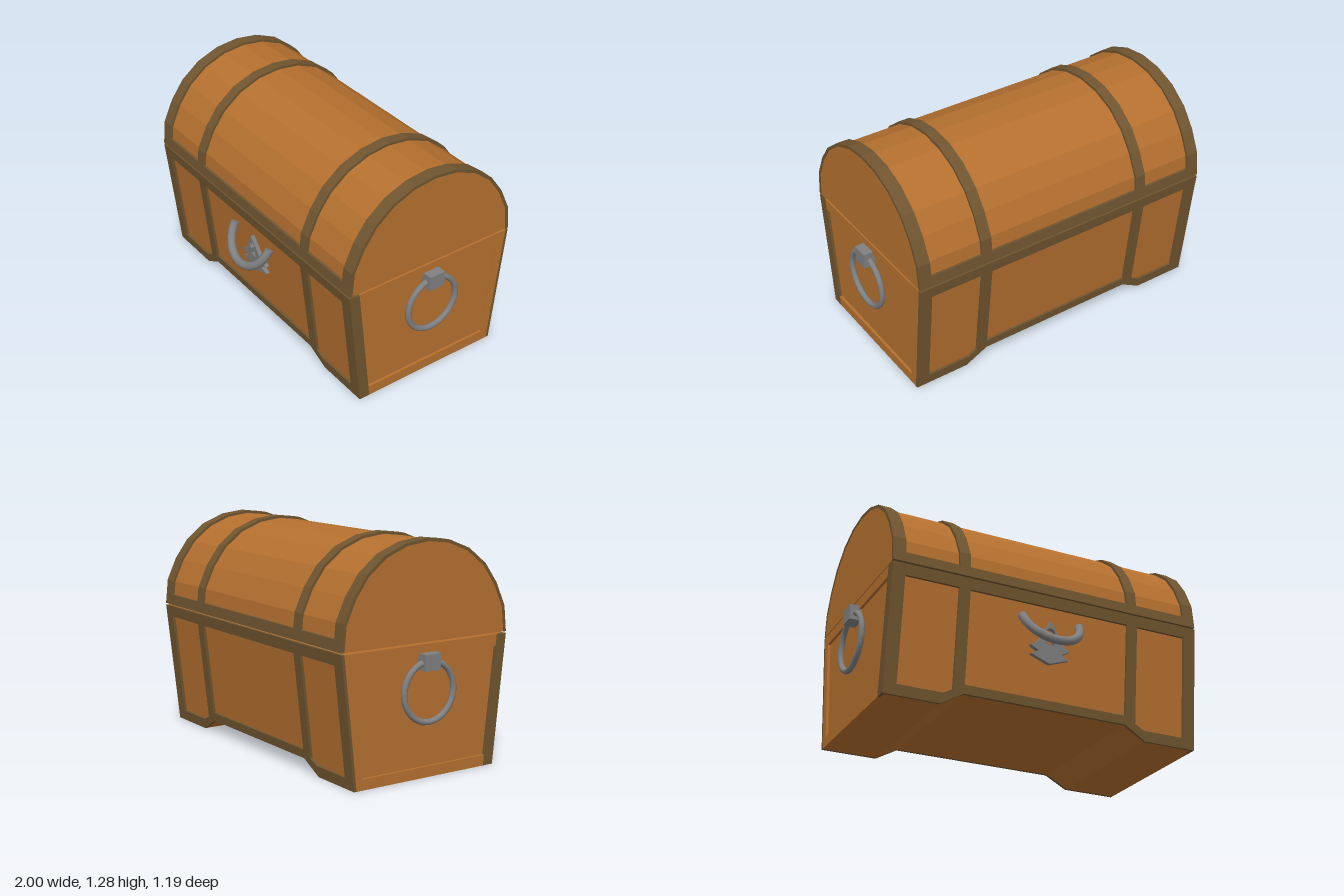
import * as THREE from 'three';

const wood = new THREE.MeshStandardMaterial({ color: 0xb5702f, flatShading: true });
const trim = new THREE.MeshStandardMaterial({ color: 0x705530, flatShading: true });
const metal = new THREE.MeshStandardMaterial({ color: 0x808080 });

const H = 0.725, LID = 0.735, W = 0.945, T = 0.015;
// half depth of the flaring body at height y
const half = (y) => 0.465 + (0.08 * y) / H;

const shapeOf = (pts) => new THREE.Shape(pts.map(([x, y]) => new THREE.Vector2(x, y)));
const mirrorX = (pts) => [...pts, ...pts.map(([x, y]) => [-x, y]).reverse()];

function add(parent, name, geometry, material) {
  const mesh = new THREE.Mesh(geometry, material);
  mesh.name = name;
  parent.add(mesh);
  return mesh;
}

// extrude a shape in the xy plane, then place its depth (t from 0 to 1) by a rule
function slanted(shape, zRule) {
  const g = new THREE.ExtrudeGeometry(shape, { depth: 1, bevelEnabled: false, curveSegments: 8 });
  const p = g.attributes.position;
  for (let i = 0; i < p.count; i++) p.setZ(i, zRule(p.getY(i), p.getZ(i)));
  g.computeVertexNormals();
  return g;
}

// extrude a (z, y) profile along x between x0 and x1
function alongX(pts, x0, x1) {
  const g = new THREE.ExtrudeGeometry(shapeOf(pts), { depth: x1 - x0, bevelEnabled: false });
  g.rotateY(-Math.PI / 2);
  g.translate(x1, 0, 0);
  return g;
}

// outline of the body seen from the front, with raised middle between the feet
const bodyOutline = (w) => mirrorX([[0.49, 0.075], [0.62, 0], [w, 0], [w, H]]);

function buildBody() {
  const body = new THREE.Group();
  body.name = 'body';
  add(body, 'bodyPanels', slanted(shapeOf(bodyOutline(W - T)),
    (y, t) => (2 * t - 1) * (half(y) - T)), wood);

  // front and back trim frames with three openings
  const frame = shapeOf(bodyOutline(W));
  const sidePanel = [[0.555, 0.09], [0.61, 0.06], [0.87, 0.06], [0.87, 0.66], [0.555, 0.66]];
  frame.holes.push(
    shapeOf([[-0.49, 0.125], [0.49, 0.125], [0.49, 0.66], [-0.49, 0.66]]),
    shapeOf(sidePanel),
    shapeOf(sidePanel.map(([x, y]) => [-x, y])));
  const frameGeo = slanted(frame, (y, t) => half(y) - T * (1 - t) - 0.002 * (1 - t));
  add(body, 'frontFrame', frameGeo, trim);
  add(body, 'backFrame', frameGeo, trim).rotation.y = Math.PI;

  // end frames: wooden rails, with a trim post at the front corner
  const m = 0.065;
  const rails = [
    [half(0) - m, 0], [half(0.06) - m, 0.06], [-half(0.06) + m, 0.06], [-half(0.66) + m, 0.66],
    [half(0.66) - m, 0.66], [half(H) - m, H], [-half(H) + T, H], [-half(0) + T, 0],
  ].reverse();
  const post = [[half(0) - m, 0], [half(0) - T, 0], [half(H) - T, H], [half(H) - m, H]];
  for (const s of [-1, 1]) {
    const a = s > 0 ? W - T - 0.002 : -W, b = s > 0 ? W : -W + T + 0.002;
    add(body, 'endFrame', alongX(rails, a, b), wood);
    add(body, 'cornerPost', alongX(post, a, b), trim);
  }
  return body;
}

function buildLid() {
  const lid = new THREE.Group();
  lid.name = 'lid';
  // right half of the faceted arch, then mirrored
  const side = [[0.545, LID], [0.53, 0.88], [0.47, 1.01], [0.39, 1.12], [0.275, 1.21], [0.14, 1.263]];
  const arch = [...side, [0, 1.28], ...side.map(([z, y]) => [-z, y]).reverse()];
  const inner = arch.map(([z, y]) => [z * 0.973, LID + (y - LID) * 0.973]);
  add(lid, 'lidPanels', alongX(inner, -W + 0.002, W - 0.002), wood);

  // bands over the arch
  const strip = [...arch, ...inner.map(([z, y]) => [z * 0.995, y - 0.002]).reverse()];
  for (const [a, b] of [[0.87, W], [0.49, 0.555]]) {
    add(lid, 'lidBand', alongX(strip, a, b), trim);
    add(lid, 'lidBand', alongX(strip, -b, -a), trim);
  }
  // lower rails
  const rail = alongX([[0.545, LID], [0.539, 0.795], [0.515, 0.795], [0.515, LID]], -0.88, 0.88);
  add(lid, 'frontLidRail', rail, trim);
  add(lid, 'backLidRail', rail, trim).rotation.y = Math.PI;
  return lid;
}

function buildLock() {
  const lock = new THREE.Group();
  lock.name = 'lock';
  // pointed plate with a keyhole
  const plate = shapeOf([[0, 0.33], [0.115, 0.37], [0.07, 0.395], [0.12, 0.42], [0.075, 0.45],
    [0, 0.578], [-0.075, 0.45], [-0.12, 0.42], [-0.07, 0.395], [-0.115, 0.37]]);
  const keyhole = new THREE.Path();
  keyhole.moveTo(0.025, 0.44);
  keyhole.lineTo(0.015, 0.482);
  keyhole.absarc(0, 0.505, 0.028, -0.95, Math.PI + 0.95, false);
  keyhole.lineTo(-0.025, 0.44);
  plate.holes.push(keyhole);
  add(lock, 'lockPlate', slanted(plate, (y, t) => half(y) - T - 0.002 + t * 0.027), metal);

  // half-ring pull, tilted outwards
  const pull = new THREE.Group();
  pull.name = 'frontPull';
  const R = 0.175, r = 0.025;
  add(pull, 'pullRing', new THREE.TorusGeometry(R, r, 10, 20, Math.PI).rotateZ(Math.PI), metal);
  for (const s of [-1, 1]) {
    add(pull, 'pullEnd', new THREE.CircleGeometry(r, 10).rotateX(-Math.PI / 2), metal).position.x = s * R;
  }
  pull.position.set(0, 0.58, 0.53);
  pull.rotation.x = -Math.PI / 6;
  lock.add(pull);
  return lock;
}

function buildEndHandle(s) {
  const handle = new THREE.Group();
  handle.name = s > 0 ? 'leftHandle' : 'rightHandle';
  add(handle, 'handleRing', new THREE.TorusGeometry(0.164, 0.017, 10, 32).rotateY(Math.PI / 2), metal)
    .position.set(s * 0.965, 0.473, 0);
  add(handle, 'handleBracket', new THREE.BoxGeometry(0.072, 0.09, 0.1), metal)
    .position.set(s * 0.964, 0.635, 0);
  return handle;
}

export function createModel() {
  const chest = new THREE.Group();
  chest.name = 'chest';
  chest.add(buildBody(), buildLid(), buildLock(), buildEndHandle(1), buildEndHandle(-1));
  // the pull stands out in front, so the box sits slightly behind centre
  chest.position.z = -0.04;
  const model = new THREE.Group();
  model.name = 'treasureChest';
  model.add(chest);
  return model;
}
